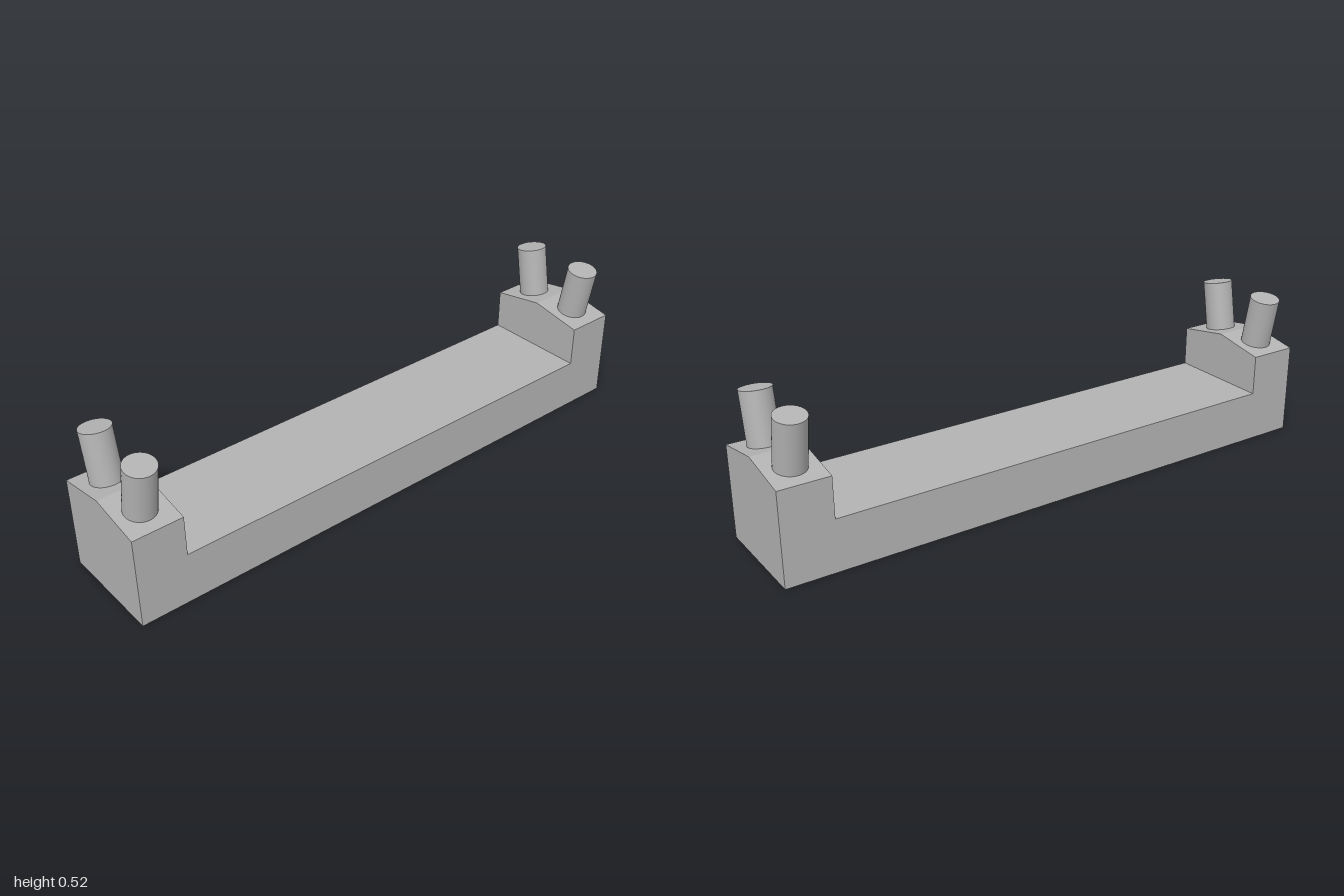
import * as THREE from 'three';

export function createModel() {
  const group = new THREE.Group();
  const grey = new THREE.MeshStandardMaterial({ color: 0xb3b3b3 });
  grey.name = 'grey';

  const halfWidth = 0.186, shoulder = 0.318, peak = 0.351;
  const deck = 0.178, inner = 0.828;
  const tilt = Math.atan((peak - shoulder) / halfWidth);

  // Body: U-shaped side profile extruded across the width, with ridged end tops
  const profile = new THREE.Shape([
    [-1, 0], [1, 0], [1, shoulder], [inner, shoulder],
    [inner, deck], [-inner, deck], [-inner, shoulder], [-1, shoulder],
  ].map(([z, y]) => new THREE.Vector2(z, y)));
  const bodyGeo = new THREE.ExtrudeGeometry(profile, {
    depth: halfWidth * 2, steps: 2, bevelEnabled: false,
  });
  bodyGeo.rotateY(Math.PI / 2).translate(-halfWidth, 0, 0);
  const pos = bodyGeo.attributes.position;
  for (let i = 0; i < pos.count; i++) {
    if (pos.getY(i) > 0.3) {
      pos.setY(i, peak - Math.abs(pos.getX(i)) * Math.tan(tilt));
    }
  }
  bodyGeo.computeVertexNormals();
  const body = new THREE.Mesh(bodyGeo, grey);
  body.name = 'body';
  group.add(body);

  // Pins: a splayed pair on each end block, sunk slightly into the roof
  const length = 0.175, sink = 0.01;
  const pinGeo = new THREE.CylinderGeometry(0.052, 0.052, length + sink, 48);
  pinGeo.translate(0, (length - sink) / 2, 0);
  for (const end of [1, -1]) {
    for (const side of [1, -1]) {
      const pin = new THREE.Mesh(pinGeo, grey);
      pin.name = (end > 0 ? 'front' : 'back') + (side > 0 ? 'LeftPin' : 'RightPin');
      pin.position.set(side * 0.0935, 0.3345, end * 0.914);
      pin.rotation.z = -side * tilt;
      group.add(pin);
    }
  }
  return group;
}
